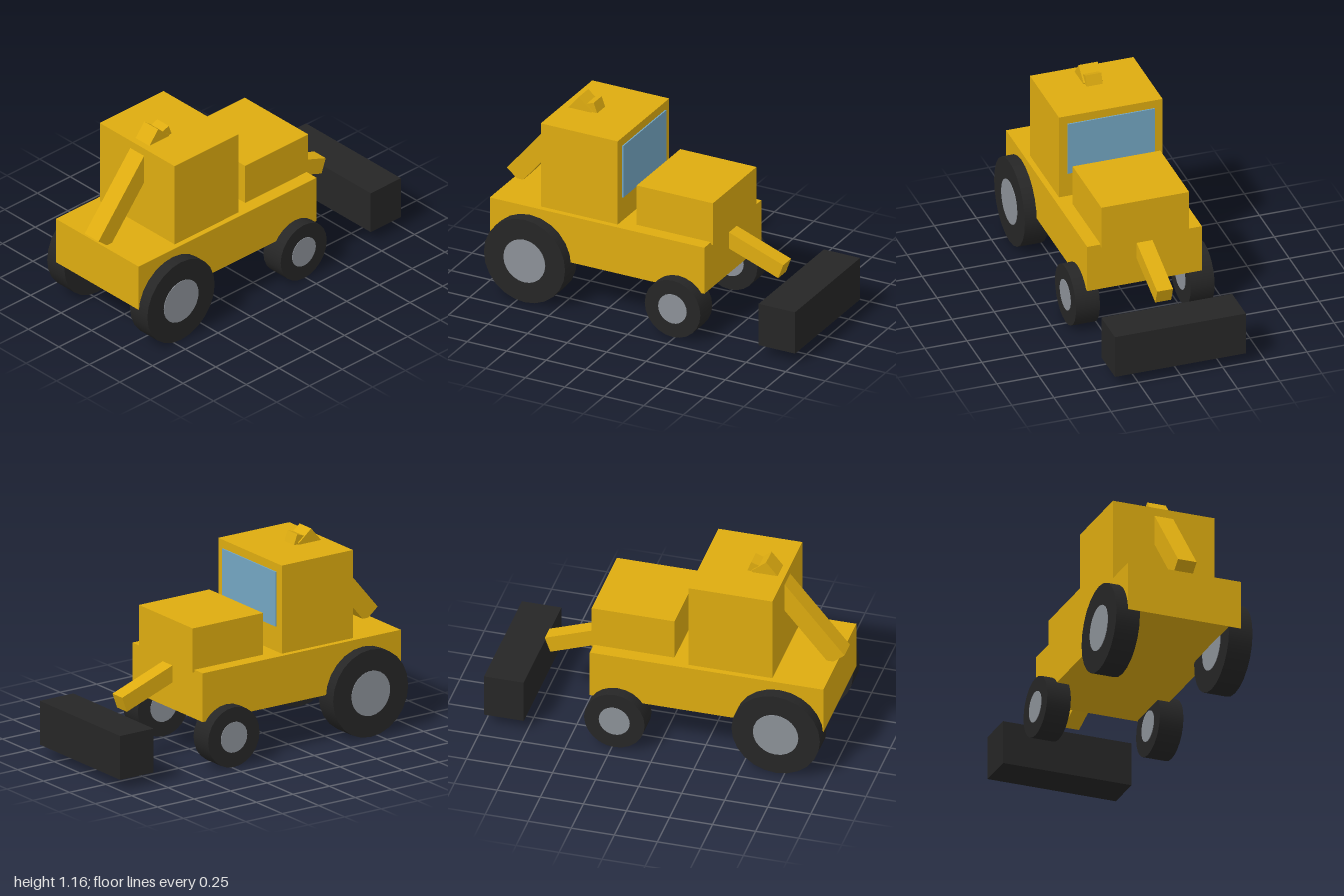
import * as THREE from 'three';

export function createModel() {
  const model = new THREE.Group();
  model.name = 'tractor';

  const material = (name, color) => {
    const m = new THREE.MeshStandardMaterial({ color });
    m.name = name;
    return m;
  };
  const yellow = material('yellow paint', 0xdeac10);
  const black = material('black rubber', 0x262626);
  const grey = material('grey hub', 0x8c9198);
  const blue = material('blue glass', 0x73a6c2);

  // Box from its x and y limits, half depth in z
  const block = (name, mat, x0, x1, y0, y1, halfZ) => {
    const mesh = new THREE.Mesh(new THREE.BoxGeometry(x1 - x0, y1 - y0, halfZ * 2), mat);
    mesh.position.set((x0 + x1) / 2, (y0 + y1) / 2, 0);
    mesh.name = name;
    model.add(mesh);
  };

  // Tilted square beam, positioned by the centre of each end
  const beam = (name, ax, ay, bx, by, thickness) => {
    const length = Math.hypot(bx - ax, by - ay);
    const mesh = new THREE.Mesh(new THREE.BoxGeometry(length, thickness, thickness), yellow);
    mesh.position.set((ax + bx) / 2, (ay + by) / 2, 0);
    mesh.rotation.z = Math.atan2(by - ay, bx - ax);
    mesh.name = name;
    model.add(mesh);
  };

  // Body
  block('chassis', yellow, -0.957, 0.4, 0.28, 0.567, 0.34);
  block('cab', yellow, -0.652, -0.165, 0.55, 1.085, 0.307);
  block('hood', yellow, -0.07, 0.412, 0.553, 0.812, 0.26);
  block('windscreen', blue, -0.164, -0.156, 0.715, 1.036, 0.258);

  // Front arm and bucket
  beam('frontArm', 0.25, 0.54, 0.728, 0.366, 0.094);
  block('bucket', black, 0.77, 1, 0.067, 0.325, 0.388);

  // Rear digging arm, with its stick passing down into the cab
  beam('rearBoom', -0.956, 0.584, -0.501, 1.129, 0.113);
  beam('rearStick', -0.499, 1.129, -0.362, 0.753, 0.094);

  // Wheels, with hubs showing on both faces
  const wheel = (name, x, radius, hubRadius, side) => {
    const group = new THREE.Group();
    group.name = name;
    const tyre = new THREE.Mesh(new THREE.CylinderGeometry(radius, radius, 0.142, 24), black);
    tyre.name = 'tyre';
    const hub = new THREE.Mesh(new THREE.CylinderGeometry(hubRadius, hubRadius, 0.148, 24), grey);
    hub.name = 'hub';
    group.add(tyre, hub);
    group.rotation.x = Math.PI / 2;
    group.position.set(x, radius + 0.004, side * 0.34);
    model.add(group);
  };
  for (const side of [-1, 1]) {
    wheel('rearWheel', -0.7, 0.257, 0.132, side);
    wheel('frontWheel', 0.237, 0.176, 0.09, side);
  }

  return model;
}
